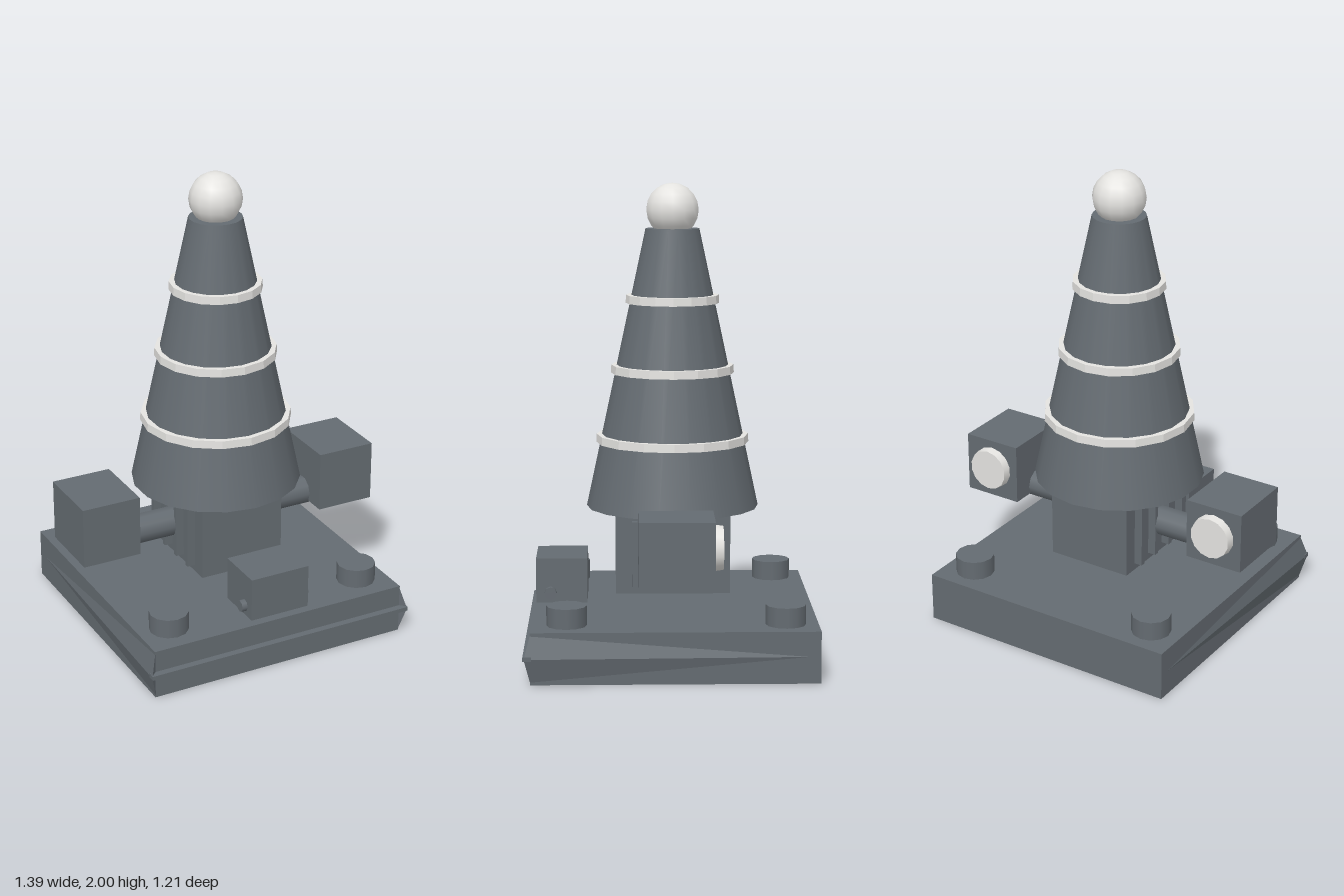
import * as THREE from 'three';

export function createModel() {
  const model = new THREE.Group();
  const slate = new THREE.MeshStandardMaterial({ color: 0x646b71 });
  slate.name = 'slate grey';
  const white = new THREE.MeshStandardMaterial({ color: 0xe4e3e0 });
  white.name = 'off white';

  const add = (name, geometry, material, x = 0, y = 0, z = 0) => {
    const mesh = new THREE.Mesh(geometry, material);
    mesh.name = name;
    mesh.position.set(x, y, z);
    model.add(mesh);
    return mesh;
  };
  // Box given by its limits on each axis
  const box = (name, x0, x1, y0, y1, z0, z1) => add(name,
    new THREE.BoxGeometry(x1 - x0, y1 - y0, z1 - z0), slate,
    (x0 + x1) / 2, (y0 + y1) / 2, (z0 + z1) / 2);

  // Base slab with a thin lip along the front edge
  box('base', -0.585, 0.585, 0.005, 0.22, -0.6, 0.575);
  box('frontLip', -0.61, 0.61, 0.108, 0.126, 0.57, 0.605);

  // Tapered ridges that swell the base sides towards the front
  for (const s of [-1, 1]) {
    const top = [s * 0.584, 0.21, 0.575];
    const bottom = [s * 0.584, 0.012, 0.575];
    const tip = [s * 0.61, 0.116, 0.6];
    const back = [s * 0.584, 0.116, -0.6];
    const faces = [[top, tip, back], [tip, bottom, back], [top, bottom, tip]];
    const points = faces.flatMap(([a, b, c]) => (s > 0 ? [a, b, c] : [a, c, b])).flat();
    const ridge = new THREE.BufferGeometry();
    ridge.setAttribute('position', new THREE.Float32BufferAttribute(points, 3));
    ridge.computeVertexNormals();
    add('sideRidge', ridge, slate);
  }

  // Round studs at the four corners
  for (const x of [-0.45, 0.45]) {
    for (const z of [-0.465, 0.43]) {
      add('stud', new THREE.CylinderGeometry(0.083, 0.083, 0.085, 12), slate, x, 0.26, z);
    }
  }

  // Neck block with upright cooling fins on both sides
  box('neck', -0.19, 0.19, 0.29, 0.64, -0.25, 0.23);
  for (const s of [-1, 1]) {
    for (const z of [0.15, 0.043, -0.067, -0.175]) {
      add('coolingFin', new THREE.BoxGeometry(0.045, 0.28, 0.022), slate, s * 0.203, 0.46, z);
    }
  }

  // Cone, wrapped by three square-edged bands and topped with a ball
  const coneZ = -0.012;
  const coneRadius = (y) => 0.364 - (y - 0.635) * 0.2136;
  add('cone', new THREE.CylinderGeometry(0.113, 0.364, 1.175, 18), slate, 0, 1.2225, coneZ);
  for (const y of [0.925, 1.22, 1.515]) {
    const r = coneRadius(y);
    const h = 0.017;
    const profile = [[r - 0.02, -h], [r + 0.021, -h], [r + 0.019, h], [r - 0.02, h]]
      .map(([px, py]) => new THREE.Vector2(px, py));
    const band = new THREE.LatheGeometry(profile, 16).toNonIndexed();
    band.computeVertexNormals();
    add('band', band, white, 0, y, coneZ);
  }
  add('topBall', new THREE.SphereGeometry(0.112, 14, 10), white, 0, 1.888, coneZ);

  // Side pods on arms, each with a lens on the back
  for (const s of [-1, 1]) {
    const arm = add('arm', new THREE.CylinderGeometry(0.064, 0.064, 0.36, 10), slate, s * 0.36, 0.459, -0.013);
    arm.rotation.z = Math.PI / 2;
    add('pod', new THREE.BoxGeometry(0.26, 0.265, 0.305), slate, s * 0.565, 0.557, -0.015);
    const lens = add('lens', new THREE.CylinderGeometry(0.09, 0.095, 0.035, 14), white, s * 0.565, 0.562, -0.185);
    lens.rotation.x = -Math.PI / 2;
  }

  // Small front box with a peg through it
  box('frontBox', -0.134, 0.134, 0.24, 0.43, 0.35, 0.566);
  const peg = add('peg', new THREE.CylinderGeometry(0.026, 0.026, 0.315, 8), slate, 0, 0.285, 0.505);
  peg.rotation.z = Math.PI / 2;

  return model;
}
